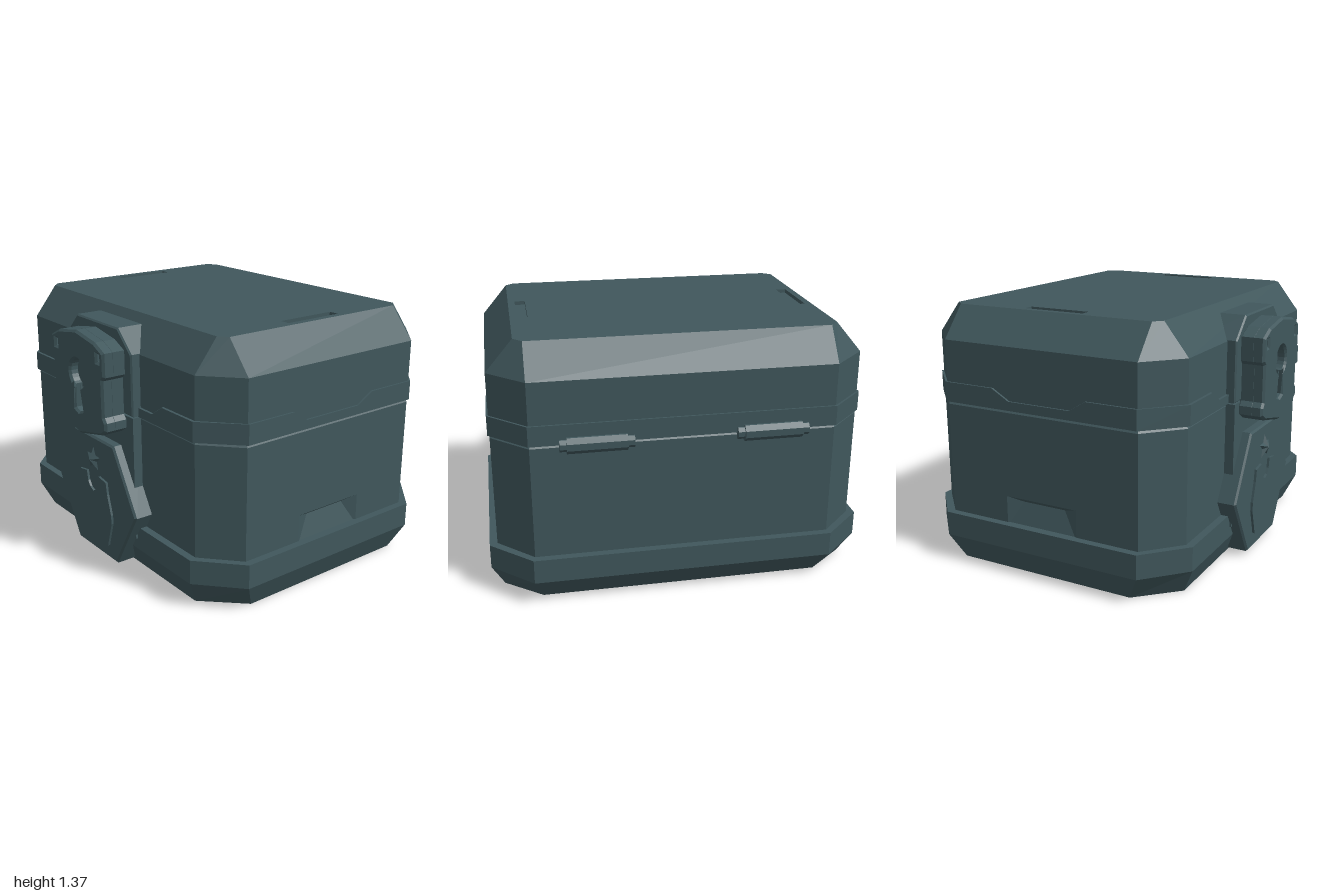
import * as THREE from 'three';

const steel = new THREE.MeshStandardMaterial({ color: 0x40575c, flatShading: true, side: THREE.DoubleSide });
steel.name = 'dark teal steel';

function add(parent, name, geometry) {
  const mesh = new THREE.Mesh(geometry, steel);
  mesh.name = name;
  parent.add(mesh);
  return mesh;
}

// Triangulates a list of four-cornered faces
function quads(list) {
  const pos = [];
  for (const [a, b, c, d] of list) pos.push(...a, ...b, ...c, ...a, ...c, ...d);
  const g = new THREE.BufferGeometry();
  g.setAttribute('position', new THREE.Float32BufferAttribute(pos, 3));
  g.computeVertexNormals();
  return g;
}

// Chamfered rectangle: half width, front z, back z, then where the corner cuts begin
const octagon = ([y, hx, zf, zb, cx, cf, cb]) => [
  [-cx, y, zf], [cx, y, zf], [hx, y, cf], [hx, y, cb],
  [cx, y, zb], [-cx, y, zb], [-hx, y, cb], [-hx, y, cf],
];

// Joins chamfered rectangles from bottom to top
function loft(sections, { bottom = false, top = false, skip = () => false } = {}) {
  const rings = sections.map(octagon), faces = [];
  for (let k = 0; k + 1 < rings.length; k++) {
    for (let i = 0; i < 8; i++) {
      const j = (i + 1) % 8;
      if (!skip(k, i)) faces.push([rings[k][i], rings[k][j], rings[k + 1][j], rings[k + 1][i]]);
    }
  }
  const a = rings[0], b = rings[rings.length - 1];
  for (const i of [1, 3, 5]) {
    if (bottom) faces.push([a[0], a[i + 2], a[i + 1], a[i]]);
    if (top) faces.push([b[0], b[i], b[i + 1], b[i + 2]]);
  }
  return quads(faces);
}

const shapeOf = (pts) => new THREE.Shape(pts.map(([x, y]) => new THREE.Vector2(x, y)));
const mirrored = (half) => [...half, ...half.map(([x, y]) => [-x, y]).reverse()];
const rect = (x0, y0, x1, y1) => new THREE.Path([[x0, y0], [x1, y0], [x1, y1], [x0, y1]].map((p) => new THREE.Vector2(...p)));

// Plate between two z depths, with an optional chamfered front edge
function plate(shape, z0, z1, bevel = 0) {
  const g = new THREE.ExtrudeGeometry(shape, {
    depth: z1 - z0 - 2 * bevel, bevelEnabled: bevel > 0, bevelSize: bevel,
    bevelThickness: bevel, bevelOffset: -bevel, bevelSegments: 1, curveSegments: 10,
  });
  return g.translate(0, 0, z0 + bevel);
}

export function createModel() {
  const chest = new THREE.Group();
  chest.name = 'chest';

  // Base skirt
  add(chest, 'base', loft([
    [0, 0.935, 0.645, -0.735, 0.74, 0.44, -0.58],
    [0.14, 1, 0.71, -0.84, 0.785, 0.51, -0.64],
    [0.27, 1, 0.71, -0.84, 0.785, 0.51, -0.64],
  ], { bottom: true, top: true }));

  // Body, with its two side walls made separately for the grip pockets
  add(chest, 'body', loft([
    [0.25, 0.96, 0.67, -0.8, 0.775, 0.5, -0.62],
    [0.865, 0.96, 0.67, -0.8, 0.775, 0.5, -0.62],
    [0.885, 0.945, 0.655, -0.785, 0.765, 0.495, -0.615],
  ], { top: true, skip: (k, i) => k === 0 && (i === 2 || i === 6) }));
  for (const s of [1, -1]) {
    const outline = [[0.5, 0.25], [0.15, 0.25], [0.15, 0.415], [-0.27, 0.415], [-0.27, 0.25], [-0.62, 0.25], [-0.62, 0.865], [0.5, 0.865]];
    const wall = new THREE.ShapeGeometry(shapeOf(outline.map(([z, y]) => [-s * z, y])));
    add(chest, 'sideWall', wall.rotateY(s * Math.PI / 2).translate(s * 0.96, 0, 0));
    const p = (z, y, x) => [s * x, y, z];
    const tf = p(0.15, 0.415, 0.96), tb = p(-0.27, 0.415, 0.96);
    const bf = p(0.15, 0.25, 0.96), bb = p(-0.27, 0.25, 0.96);
    const inF = p(0.06, 0.385, 0.92), inB = p(-0.19, 0.385, 0.92);
    add(chest, 'gripPocket', quads([[tf, inF, inB, tb], [inF, bf, bb, inB], [tf, bf, inF, inF], [tb, inB, bb, bb]]));
  }

  // Lid with sloped shoulders
  const lid = new THREE.Group();
  lid.name = 'lid';
  chest.add(lid);
  add(lid, 'lidShell', loft([
    [0.89, 0.96, 0.67, -0.8, 0.775, 0.5, -0.62],
    [1.205, 0.96, 0.67, -0.8, 0.775, 0.5, -0.62],
    [1.37, 0.82, 0.54, -0.67, 0.775, 0.5, -0.62],
  ], { bottom: true }));

  // Lid top with two recessed slots
  const topShape = shapeOf(octagon([0, 0.82, 0.54, -0.67, 0.775, 0.5, -0.62]).map(([x, , z]) => [x, -z]));
  for (const x of [-0.755, 0.755]) {
    topShape.holes.push(rect(x - 0.028, -0.1, x + 0.028, 0.24));
    add(lid, 'slotFloor', new THREE.BoxGeometry(0.08, 0.01, 0.36).translate(x, 1.345, -0.07));
  }
  add(lid, 'lidTop', plate(topShape, 1.35, 1.37).rotateX(-Math.PI / 2));

  // Lid rim, stepping down in the middle of the front and sides
  const H = 0.985, L = 0.928;
  const half = [
    [0.44, 0.685, L], [0.53, 0.685, H], [0.78, 0.685, H], [0.97, 0.5, H], [0.97, 0.22, H], [0.97, 0.13, L],
    [0.97, -0.23, L], [0.97, -0.33, H], [0.97, -0.625, H], [0.78, -0.81, H],
  ];
  const path = [...half, ...half.map(([x, z, h]) => [-x, z, h]).reverse()];
  const rimFaces = [];
  path.forEach(([x, z, h], i) => {
    const [x2, z2, h2] = path[(i + 1) % path.length];
    const inner = (u, y, w) => [u * 0.97, y, (w + 0.0625) * 0.97 - 0.0625];
    const y0 = 0.88;
    rimFaces.push([[x, y0, z], [x2, y0, z2], [x2, h2, z2], [x, h, z]]);
    rimFaces.push([[x, h, z], [x2, h2, z2], inner(x2, h2, z2), inner(x, h, z)]);
    rimFaces.push([[x2, y0, z2], [x, y0, z], inner(x, y0, z), inner(x2, y0, z2)]);
  });
  add(lid, 'lidRim', quads(rimFaces));

  // Backing plate behind the lock, split at the lid seam
  add(lid, 'upperBacking', plate(shapeOf(mirrored([[0.32, 0.883], [0.32, 1.21], [0.2, 1.325]])), 0.5, 0.722, 0.008));
  add(chest, 'lowerBacking', plate(shapeOf(mirrored([[0.32, 0.2], [0.32, 0.877]])), 0.5, 0.72));

  // Lock with keyhole and two small slots
  const lock = new THREE.Group();
  lock.name = 'lock';
  chest.add(lock);
  const lockHalf = [
    [0, 0.735], [0.22, 0.785], [0.265, 0.815], [0.265, 0.86], [0.245, 0.885], [0.245, 1.08],
    [0.265, 1.1], [0.265, 1.225], [0.18, 1.265], [0, 1.295],
  ];
  const lockOutline = [...lockHalf, ...lockHalf.slice(1, -1).map(([x, y]) => [-x, y]).reverse()];
  const face = shapeOf(lockOutline);
  const keyhole = new THREE.Path();
  keyhole.moveTo(-0.04, 0.87);
  keyhole.lineTo(0, 0.855);
  keyhole.lineTo(0.04, 0.87);
  keyhole.lineTo(0.035, 1.0);
  keyhole.absarc(0, 1.065, 0.077, -1.1, Math.PI + 1.1, false);
  keyhole.lineTo(-0.035, 1.0);
  keyhole.closePath();
  face.holes.push(keyhole);
  for (const x of [-0.21, 0.21]) face.holes.push(rect(x - 0.012, 1.17, x + 0.012, 1.21));
  add(lock, 'lockFace', plate(face, 0.78, 0.85, 0.012));
  add(lock, 'lockBody', plate(shapeOf(lockOutline), 0.715, 0.8, 0.01));

  // Hexagonal shield under the lock
  const hexagon = (r) => shapeOf([0, 1, 2, 3, 4, 5].map((i) => [r * Math.cos(i * Math.PI / 3), 0.36 + r * 0.98 * Math.sin(i * Math.PI / 3)]));
  add(chest, 'hexShield', plate(hexagon(0.4), 0.6, 0.772, 0.01));

  // Raised ornament on the shield
  add(chest, 'shieldOrnament', plate(shapeOf([
    [0, 0.385],
    ...mirrored([[0.03, 0.4], [0.05, 0.43], [0.06, 0.487], [0.135, 0.476], [0.145, 0.41], [0.178, 0.3], [0.18, 0.25], [0.145, 0.14], [0.135, 0.105]]),
  ]), 0.77, 0.785));

  // Faceted star
  const tips = Array.from({ length: 10 }, (_, i) => {
    const a = Math.PI / 2 + i * Math.PI / 5, r = i % 2 ? 0.032 : 0.075;
    return [r * Math.cos(a), 0.57 + r * Math.sin(a), 0.77];
  });
  const peak = [0, 0.57, 0.8];
  add(chest, 'star', quads(tips.map((t, i) => [t, tips[(i + 1) % 10], peak, peak])));

  // Rear hinges
  for (const x of [-0.445, 0.445]) {
    const hinge = new THREE.Group();
    hinge.name = 'hinge';
    hinge.position.set(x, 0.877, -0.805);
    chest.add(hinge);
    for (const [name, r, len] of [['hingeBarrel', 0.045, 0.3], ['hingePin', 0.033, 0.37]]) {
      add(hinge, name, new THREE.CylinderGeometry(r, r, len, 8).rotateY(Math.PI / 8).rotateZ(Math.PI / 2));
    }
  }
  return chest;
}
